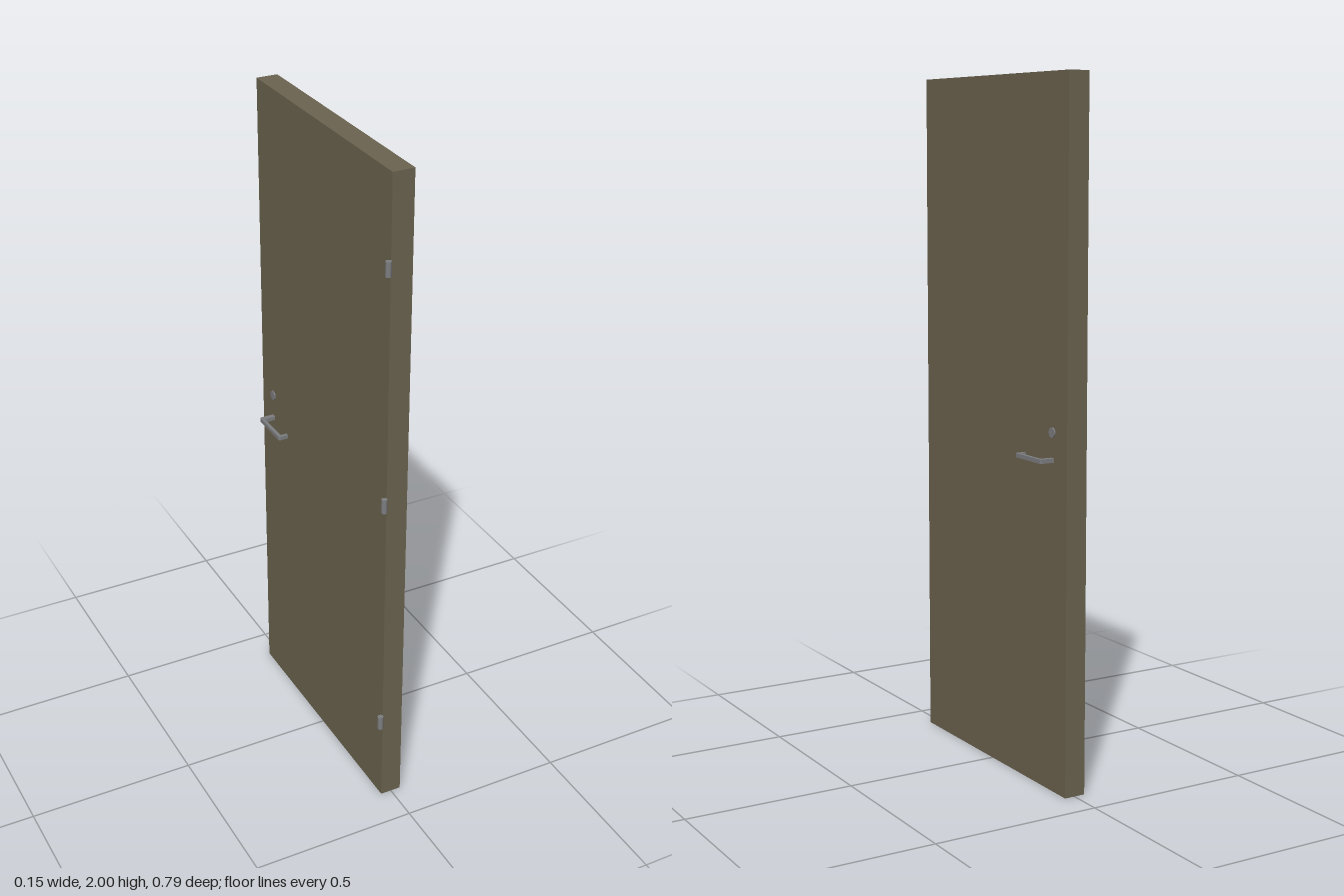
import * as THREE from 'three';

const DOOR_X = -0.001, HALF = 0.032;

// Flat lever outline in plan: neck, long grip and a short return towards the door
function leverGeometry(s) {
  const p = (u, z) => [DOOR_X + s * u, -z];
  const shape = new THREE.Shape();
  shape.moveTo(...p(0.03, -0.333));
  shape.lineTo(...p(0.070, -0.333));
  shape.quadraticCurveTo(...p(0.076, -0.333), ...p(0.076, -0.327));
  shape.lineTo(...p(0.076, -0.206));
  shape.quadraticCurveTo(...p(0.076, -0.2), ...p(0.070, -0.2));
  shape.lineTo(...p(0.046, -0.2));
  shape.lineTo(...p(0.046, -0.21));
  shape.lineTo(...p(0.065, -0.21));
  shape.lineTo(...p(0.066, -0.318));
  shape.lineTo(...p(0.03, -0.318));
  shape.closePath();
  const g = new THREE.ExtrudeGeometry(shape, { depth: 0.012, bevelEnabled: false, curveSegments: 4 });
  g.rotateX(-Math.PI / 2);
  g.translate(0, 0.943, 0);
  return g;
}

export function createModel() {
  const group = new THREE.Group();
  const wood = new THREE.MeshStandardMaterial({ color: 0x6b634f });
  const metal = new THREE.MeshStandardMaterial({ color: 0x7c7d7f });
  const add = (name, geometry, material, x = 0, y = 0, z = 0) => {
    const mesh = new THREE.Mesh(geometry, material);
    mesh.name = name;
    mesh.position.set(x, y, z);
    group.add(mesh);
    return mesh;
  };

  // Door leaf
  add('doorPanel', new THREE.BoxGeometry(2 * HALF, 2, 0.784), wood, DOOR_X, 1, -0.006);

  // Lever handle and lock disc on each face
  for (const [side, s] of [['left', 1], ['right', -1]]) {
    add(side + 'Handle', leverGeometry(s), metal);
    const lock = add(side + 'Lock', new THREE.CylinderGeometry(0.0145, 0.0145, 0.008, 24), metal,
      DOOR_X + s * 0.032, 1.026, -0.325);
    lock.rotation.z = -s * Math.PI / 2;
  }

  // Hinge barrels on the front edge
  for (const y of [0.281, 1.034, 1.742])
    add('hinge', new THREE.CylinderGeometry(0.0085, 0.0085, 0.043, 16), metal, -0.041, y, 0.388);

  return group;
}
